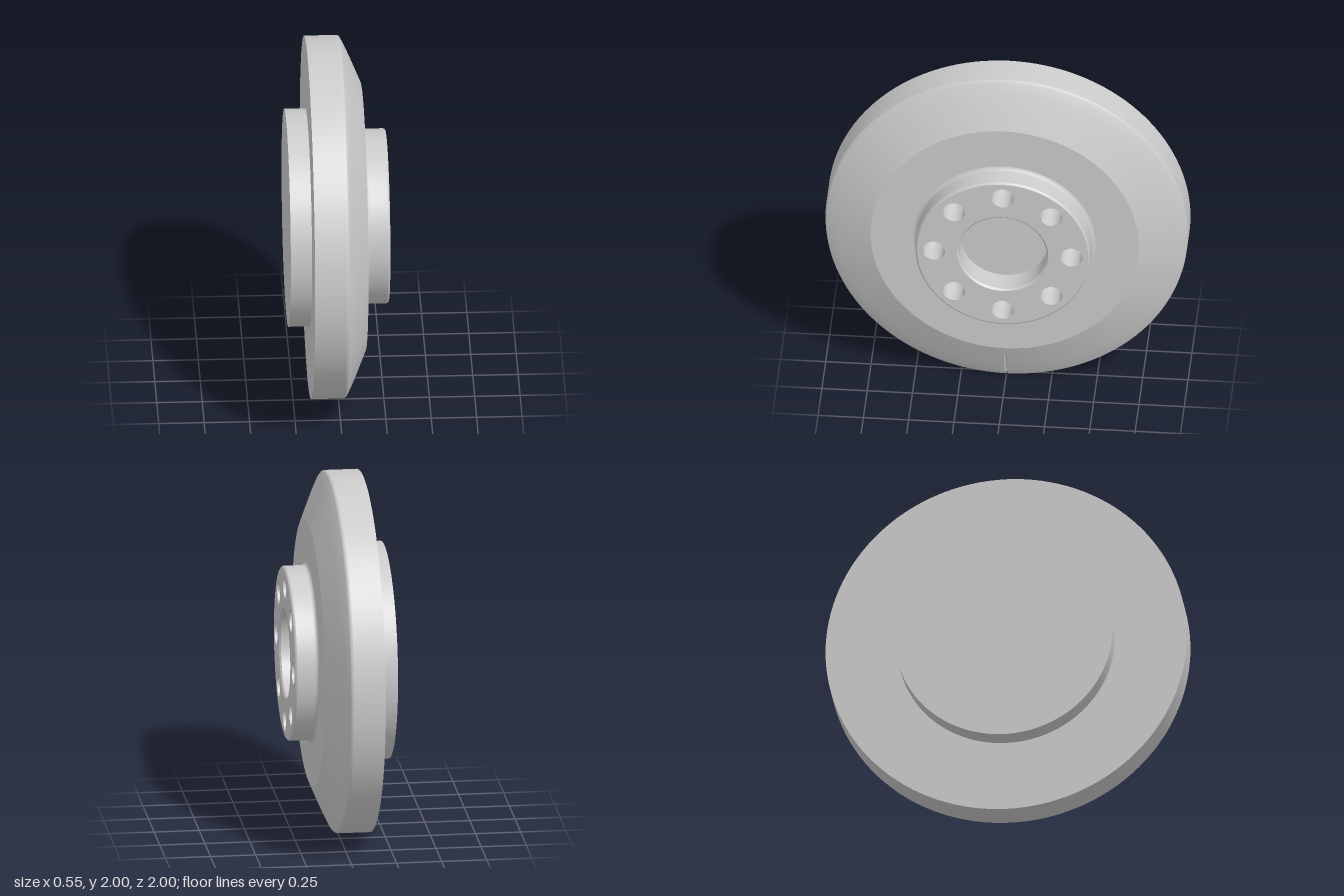
import * as THREE from 'three';

const SEG = 128;
const material = new THREE.MeshStandardMaterial({ color: 0xcccccc });
const open = new THREE.MeshStandardMaterial({ color: 0xcccccc, side: THREE.DoubleSide });

function add(parent, name, geometry, mat = material) {
  const mesh = new THREE.Mesh(geometry, mat);
  mesh.name = name;
  parent.add(mesh);
  return mesh;
}

// One smooth band of revolution; points are [radius, height along the axis].
function band(points, segments = SEG, start = 0, length = Math.PI * 2) {
  return new THREE.LatheGeometry(points.map(([r, h]) => new THREE.Vector2(r, h)), segments, start, length);
}

export function createModel() {
  const group = new THREE.Group();
  group.name = 'flangedDisc';
  const body = new THREE.Group();
  body.name = 'turnedBody';
  body.rotation.z = -Math.PI / 2; // turning axis along x
  group.add(body);

  // Back boss and disc, each band separate to keep its edges sharp
  add(body, 'backBossFace', band([[0, -0.277], [0.6, -0.277]]));
  add(body, 'backBossSide', band([[0.6, -0.277], [0.6, -0.16]]));
  add(body, 'discBack', band([[0.6, -0.16], [1, -0.16]]));
  add(body, 'discRim', band([[1, -0.16], [1, 0.015]]));

  // Gently domed bevel, left open by a narrow slit at the bottom
  const gap = 0.016;
  const bevel = [[1, 0.015], [0.998, 0.026], [0.99, 0.034], [0.94, 0.059], [0.88, 0.086], [0.81, 0.116], [0.74, 0.145]];
  add(body, 'discBevel', band(bevel, SEG, Math.PI / 2 + gap / 2, Math.PI * 2 - gap));

  // V-shaped walls of the slit, deepening towards the rim
  const slit = [];
  for (const side of [-1, 1]) {
    const a = Math.PI / 2 + side * gap / 2;
    const edge = bevel.map(([r, h]) => [r * Math.sin(a), h, r * Math.cos(a)]);
    const valley = bevel.map(([r, h]) => [r, h - 0.02 * (r - 0.74) / 0.26, 0]);
    for (let i = 0; i < bevel.length - 1; i++) {
      slit.push(...edge[i], ...valley[i], ...valley[i + 1], ...edge[i], ...valley[i + 1], ...edge[i + 1]);
    }
  }
  const slitGeometry = new THREE.BufferGeometry();
  slitGeometry.setAttribute('position', new THREE.Float32BufferAttribute(slit, 3));
  slitGeometry.computeVertexNormals();
  add(body, 'bevelSlit', slitGeometry, open);

  // Front face, hub with root fillet and chamfered lip
  add(body, 'discFront', band([[0.74, 0.145], [0.502, 0.145]]));
  add(body, 'hubSide', band([[0.502, 0.145], [0.492, 0.148], [0.485, 0.155], [0.482, 0.166], [0.482, 0.265]]));
  add(body, 'hubLip', band([[0.482, 0.265], [0.479, 0.272], [0.472, 0.277]]));

  // Central bore
  add(body, 'boreChamfer', band([[0.252, 0.277], [0.242, 0.267]]));
  add(body, 'boreWall', band([[0.242, 0.267], [0.242, 0.14]]));
  add(body, 'boreFloor', band([[0.242, 0.14], [0, 0.14]]));

  // Hub face pierced by the bore and a circle of bolt holes
  const circle = (path, x, y, r) => path.absarc(x, y, r, 0, Math.PI * 2, false);
  const face = circle(new THREE.Shape(), 0, 0, 0.472);
  face.holes.push(circle(new THREE.Path(), 0, 0, 0.252));
  for (let i = 0; i < 8; i++) {
    const a = i * Math.PI / 4, x = 0.38 * Math.cos(a), y = 0.38 * Math.sin(a);
    face.holes.push(circle(new THREE.Path(), x, y, 0.061));
    const hole = new THREE.Group();
    hole.name = 'boltHole';
    hole.position.set(x, 0, -y);
    add(hole, 'boltHoleWall', band([[0.061, 0.277], [0.061, 0.17]], 48));
    add(hole, 'boltHoleTip', band([[0.061, 0.17], [0, 0.135]], 48));
    body.add(hole);
  }
  add(body, 'hubFace', new THREE.ShapeGeometry(face, 96).rotateX(-Math.PI / 2).translate(0, 0.277, 0));

  group.position.y = 1;
  const model = new THREE.Group();
  model.name = 'model';
  model.add(group);
  return model;
}
